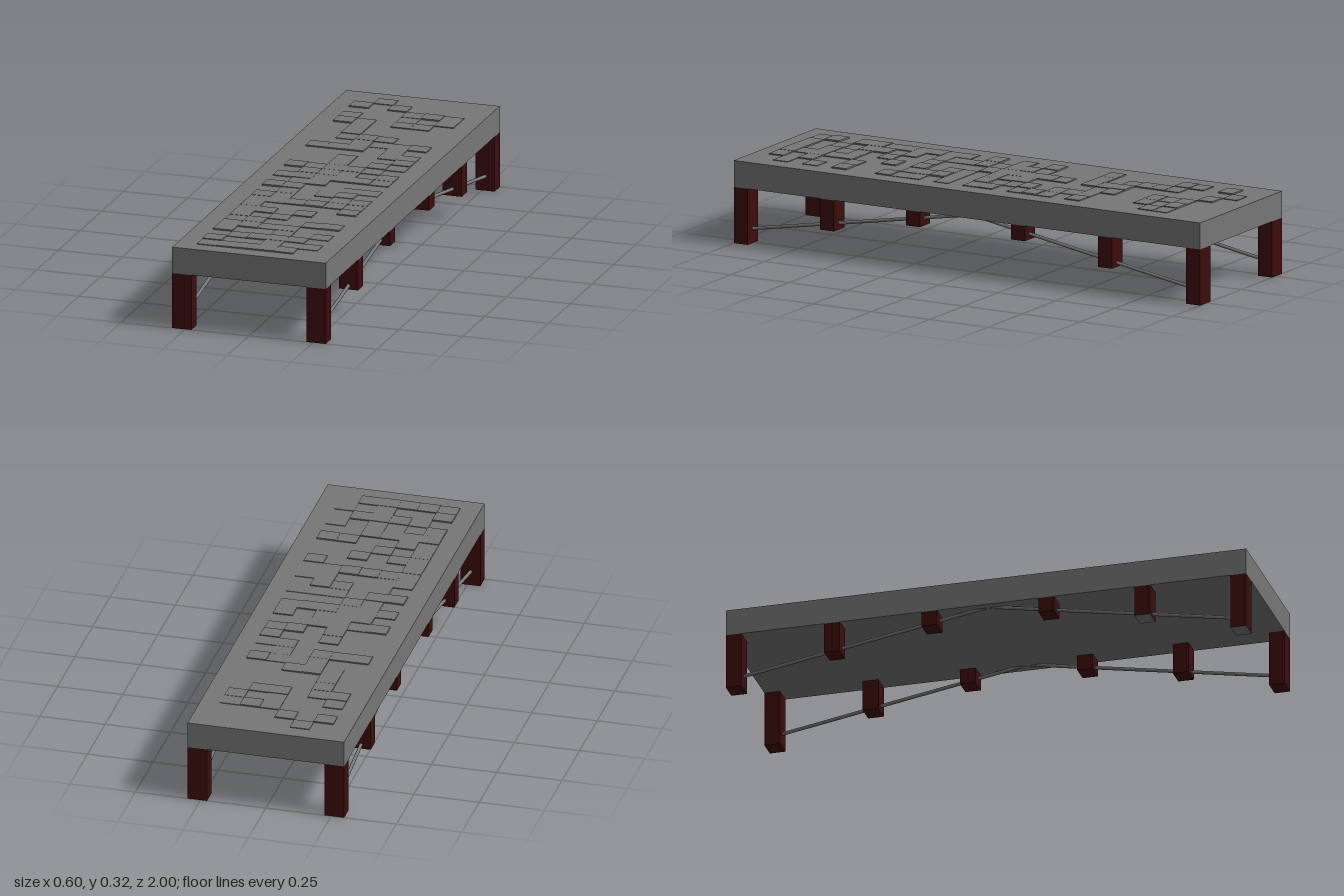
import * as THREE from 'three';

export function createModel() {
  const model = new THREE.Group();
  model.name = 'footbridge';

  const stone = new THREE.MeshStandardMaterial({ color: 0x777777 });
  stone.name = 'stone grey';
  const wood = new THREE.MeshStandardMaterial({ color: 0x3e0d0d });
  wood.name = 'dark red wood';

  const DECK_BOTTOM = 0.213, DECK_TOP = 0.314;

  // Box given by its centre in x and z, and its bottom and top in y
  function box(name, parent, material, w, d, x, z, y0, y1) {
    const mesh = new THREE.Mesh(new THREE.BoxGeometry(w, y1 - y0, d), material);
    mesh.position.set(x, (y0 + y1) / 2, z);
    mesh.name = name;
    parent.add(mesh);
    return mesh;
  }

  box('deck', model, stone, 0.6, 2, 0, 0, DECK_BOTTOM, DECK_TOP);

  // Slightly uneven paving stones in six columns along the deck
  let seed = 7;
  const random = () => (seed = (seed * 16807) % 2147483647) / 2147483647;
  const paving = new THREE.Group();
  paving.name = 'paving';
  model.add(paving);
  for (let row = 0; row < 30; row++) {
    const z = -0.9375 + (row + 0.5) * 0.0625;
    const density = z < -0.45 ? 0.35 : 0.65;
    for (let col = 0; col < 6; col++) {
      const rise = 0.0015 + 0.0045 * random();
      if (random() > density) continue;
      const x = -0.225 + (col + 0.5) * 0.075;
      box('pavingStone', paving, stone, 0.075, 0.0625, x, z, DECK_TOP - 0.005, DECK_TOP + rise);
    }
  }

  // Posts: [z, bottom height], shorter towards the middle
  const postRows = [[0.97, 0], [0.6, 0.095], [0.232, 0.155], [-0.218, 0.155], [-0.592, 0.095], [-0.97, 0]];
  const greyFoot = [wood, wood, wood, stone, wood, wood];
  for (const side of [1, -1]) {
    postRows.forEach(([z, bottom], i) => {
      const material = side < 0 && i < 2 ? greyFoot : wood;
      box('post', model, material, 0.075, 0.06, side * 0.2625, z, bottom, DECK_BOTTOM);
    });
  }

  // Brace rods rising from the end posts to the middle of the deck
  const up = new THREE.Vector3(0, 1, 0);
  for (const side of [1, -1]) {
    for (const end of [1, -1]) {
      const a = new THREE.Vector3(side * 0.2625, 0.05, end * 0.97);
      const b = new THREE.Vector3(side * 0.2625, 0.219, 0);
      const dir = b.clone().sub(a);
      const rod = new THREE.Mesh(new THREE.CylinderGeometry(0.0065, 0.0065, dir.length(), 12), stone);
      rod.position.copy(a).add(b).multiplyScalar(0.5);
      rod.quaternion.setFromUnitVectors(up, dir.normalize());
      rod.name = 'braceRod';
      model.add(rod);
    }
  }

  return model;
}
